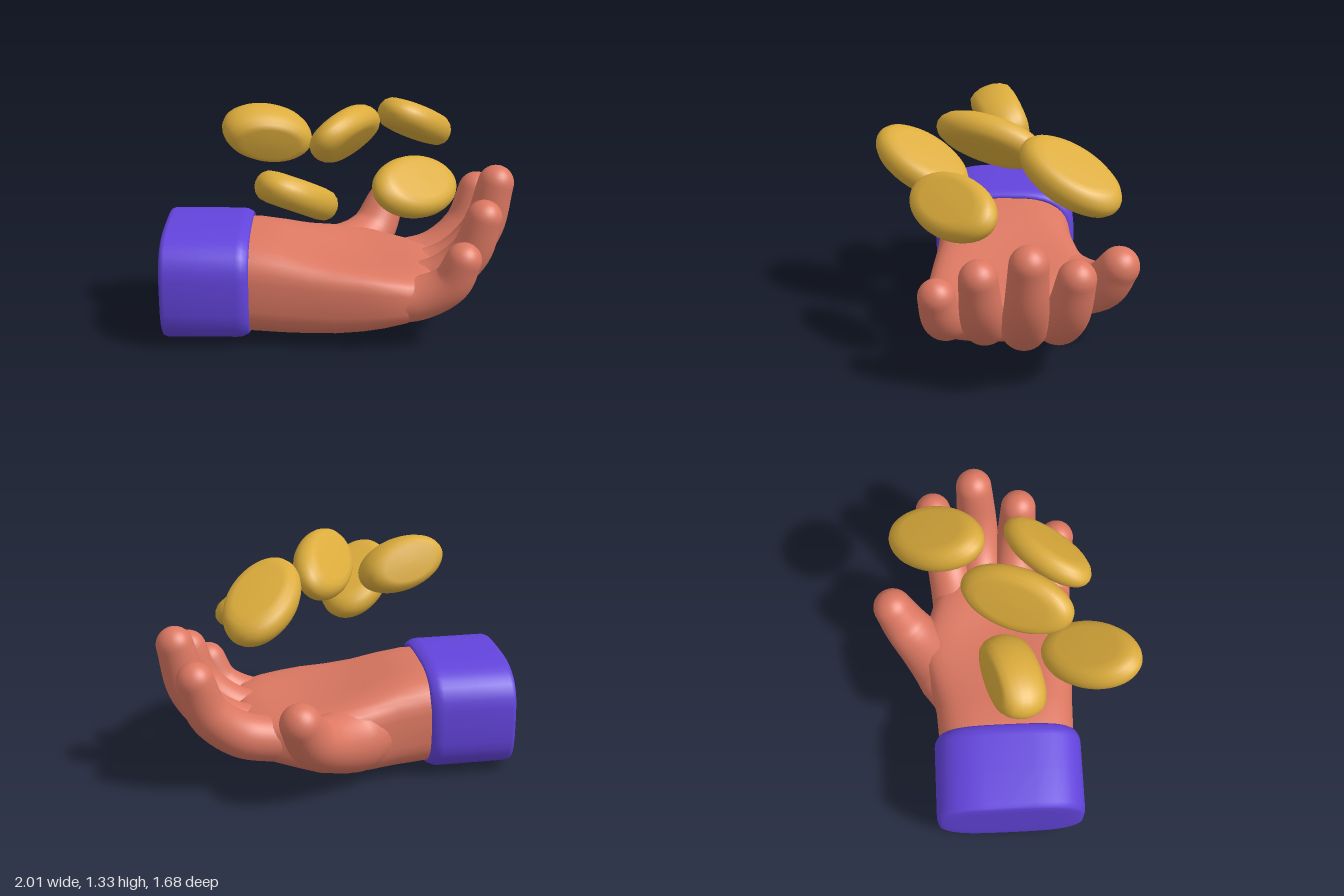
import * as THREE from 'three';

const skin = new THREE.MeshStandardMaterial({ color: 0xdc7862 });
const cloth = new THREE.MeshStandardMaterial({ color: 0x6344dc });
const gold = new THREE.MeshStandardMaterial({ color: 0xdcac3c });
const SIDES = 40;

// Smooth skin over a row of rings that all have SIDES points
function loft(rings) {
  const index = [];
  for (let i = 0; i < rings.length - 1; i++) {
    for (let j = 0; j < SIDES; j++) {
      const k = (j + 1) % SIDES;
      const a = i * SIDES + j, b = a + SIDES, c = i * SIDES + k, d = c + SIDES;
      index.push(a, b, c, c, b, d);
    }
  }
  const g = new THREE.BufferGeometry().setFromPoints(rings.flat());
  g.setIndex(index);
  g.computeVertexNormals();
  return g;
}

// Rounded-rectangle ring across the arm; cup hollows its upper side
function armRing(x, z0, z1, y0, y1, power, scale = 1, cup = 0) {
  const soft = (v) => Math.sign(v) * Math.abs(v) ** power;
  return Array.from({ length: SIDES }, (_, j) => {
    const t = (j / SIDES) * Math.PI * 2;
    const w = soft(Math.cos(t)), h = soft(Math.sin(t));
    const y = (y0 + y1) / 2 + ((y1 - y0) / 2) * h * scale;
    const dip = h > 0 ? cup * h * (1 - w * w) : 0;
    return new THREE.Vector3(x, y - dip, (z0 + z1) / 2 + ((z1 - z0) / 2) * w * scale);
  });
}

// Tapered, round-ended digit along a curve
function digit(points, radii) {
  const curve = new THREE.CatmullRomCurve3(points.map((p) => new THREE.Vector3(...p)));
  const steps = 24;
  const frames = curve.computeFrenetFrames(steps);
  const rings = [];
  const ring = (c, i, r) => rings.push(Array.from({ length: SIDES }, (_, j) => {
    const t = (j / SIDES) * Math.PI * 2;
    return c.clone()
      .addScaledVector(frames.binormals[i], r * Math.cos(t))
      .addScaledVector(frames.normals[i], r * Math.sin(t));
  }));
  for (let i = 0; i <= steps; i++) {
    const f = (i / steps) * (radii.length - 1);
    const k = Math.min(Math.floor(f), radii.length - 2);
    ring(curve.getPointAt(i / steps), i, THREE.MathUtils.lerp(radii[k], radii[k + 1], f - k));
  }
  const tip = radii[radii.length - 1];
  for (let i = 1; i <= 8; i++) {
    const a = (i / 8) * Math.PI / 2;
    const c = curve.getPointAt(1).addScaledVector(frames.tangents[steps], tip * Math.sin(a));
    ring(c, steps, Math.max(tip * Math.cos(a), 0.001));
  }
  return loft(rings);
}

// Rounded oval disc: major axis and face normal give its attitude
function coin(major, normal, r1, r2, h) {
  const profile = [[0.001, -1], [0.62, -0.99], [0.8, -0.9], [0.92, -0.64], [0.985, -0.3], [1, 0],
    [0.985, 0.3], [0.92, 0.64], [0.8, 0.9], [0.62, 0.99], [0.001, 1]];
  const g = new THREE.LatheGeometry(profile.map((p) => new THREE.Vector2(...p)), 48);
  const n = new THREE.Vector3(...normal).normalize();
  const p = new THREE.Vector3(...major);
  p.addScaledVector(n, -p.dot(n)).normalize();
  const q = p.clone().cross(n);
  const basis = new THREE.Matrix4().makeBasis(
    p.multiplyScalar(r1), n.multiplyScalar(h), q.multiplyScalar(r2));
  return g.applyMatrix4(basis);
}

export function createModel() {
  const model = new THREE.Group();
  const add = (parent, name, geometry, material) => {
    const mesh = new THREE.Mesh(geometry, material);
    mesh.name = name;
    parent.add(mesh);
    return mesh;
  };

  // Arm runs along its local x, thumb on -z, and is turned as a whole
  const arm = new THREE.Group();
  arm.name = 'arm';
  arm.rotation.y = -0.616;
  model.add(arm);

  // Sleeve cuff: closed back, bevelled front rim turned in to the wrist
  const cuffRows = [[-0.925, 0.01], [-0.925, 0.5], [-0.925, 0.76], [-0.921, 0.92], [-0.912, 0.98],
    [-0.89, 1], [-0.7, 1], [-0.5, 1], [-0.47, 0.99], [-0.44, 0.95], [-0.43, 0.91],
    [-0.435, 0.88], [-0.46, 0.85], [-0.47, 0.6]];
  add(arm, 'cuff', loft(cuffRows.map(([x, s]) => armRing(x, -0.392, 0.45, 0, 0.63, 0.62, s))), cloth);

  // Palm: x, z range, y range, hollow, scale
  const palmRows = [
    [-0.56, -0.35, 0.4, 0.04, 0.585, 0, 1],
    [-0.4, -0.365, 0.415, 0.03, 0.585, 0, 1],
    [-0.25, -0.375, 0.42, 0.022, 0.57, 0.02, 1],
    [-0.1, -0.41, 0.43, 0.02, 0.545, 0.05, 1],
    [0.05, -0.45, 0.445, 0.025, 0.53, 0.08, 1],
    [0.2, -0.445, 0.455, 0.045, 0.515, 0.095, 1],
    [0.32, -0.405, 0.46, 0.075, 0.485, 0.075, 1],
    [0.44, -0.365, 0.45, 0.11, 0.45, 0.035, 1],
    [0.55, -0.345, 0.43, 0.15, 0.425, 0.01, 0.95],
    [0.62, -0.33, 0.41, 0.185, 0.41, 0, 0.75],
    [0.64, -0.32, 0.4, 0.19, 0.4, 0, 0.01],
  ];
  add(arm, 'palm', loft(palmRows.map(([x, z0, z1, y0, y1, cup, s]) =>
    armRing(x, z0, z1, y0, y1, 0.64, s, cup))), skin);

  // Curled fingers and thumb
  const digits = {
    indexFinger: [[[0.36, 0.26, -0.24], [0.62, 0.32, -0.265], [0.8, 0.48, -0.31], [0.868, 0.69, -0.345]],
      [0.13, 0.13, 0.12, 0.103]],
    middleFinger: [[[0.38, 0.25, -0.07], [0.68, 0.32, -0.08], [0.88, 0.53, -0.09], [0.955, 0.81, -0.1]],
      [0.13, 0.13, 0.118, 0.103]],
    ringFinger: [[[0.36, 0.25, 0.12], [0.62, 0.315, 0.13], [0.8, 0.48, 0.145], [0.868, 0.69, 0.156]],
      [0.13, 0.128, 0.116, 0.102]],
    littleFinger: [[[0.3, 0.25, 0.31], [0.53, 0.29, 0.335], [0.68, 0.385, 0.36], [0.742, 0.525, 0.379]],
      [0.13, 0.125, 0.113, 0.1]],
    thumb: [[[-0.22, 0.27, -0.14], [0.06, 0.27, -0.33], [0.26, 0.36, -0.52], [0.34, 0.51, -0.605]],
      [0.19, 0.2, 0.15, 0.114]],
  };
  for (const [name, [points, radii]] of Object.entries(digits)) {
    add(arm, name, digit(points, radii), skin);
  }

  // Falling coins: centre, major axis, normal, radii, half thickness
  const coins = new THREE.Group();
  coins.name = 'coins';
  model.add(coins);
  [
    [[-0.305, 1.15, -0.147], [0.93, -0.22, 0.29], [0.35, 0.3, -0.89], 0.255, 0.148, 0.125],
    [[0.02, 1.16, 0.14], [0.86, -0.15, -0.46], [-0.33, 0.6, -0.72], 0.325, 0.18, 0.08],
    [[0.59, 1.107, 0.025], [0.83, -0.38, -0.42], [0.45, 0.88, -0.1], 0.305, 0.2, 0.085],
    [[-0.415, 0.935, 0.315], [0.83, -0.38, -0.42], [0.45, 0.88, -0.1], 0.305, 0.2, 0.085],
    [[0.215, 0.92, 0.515], [0.98, -0.07, -0.16], [0.18, 0.72, 0.67], 0.297, 0.18, 0.078],
  ].forEach(([centre, ...shape], i) => {
    add(coins, `coin${i + 1}`, coin(...shape), gold).position.set(...centre);
  });

  return model;
}
